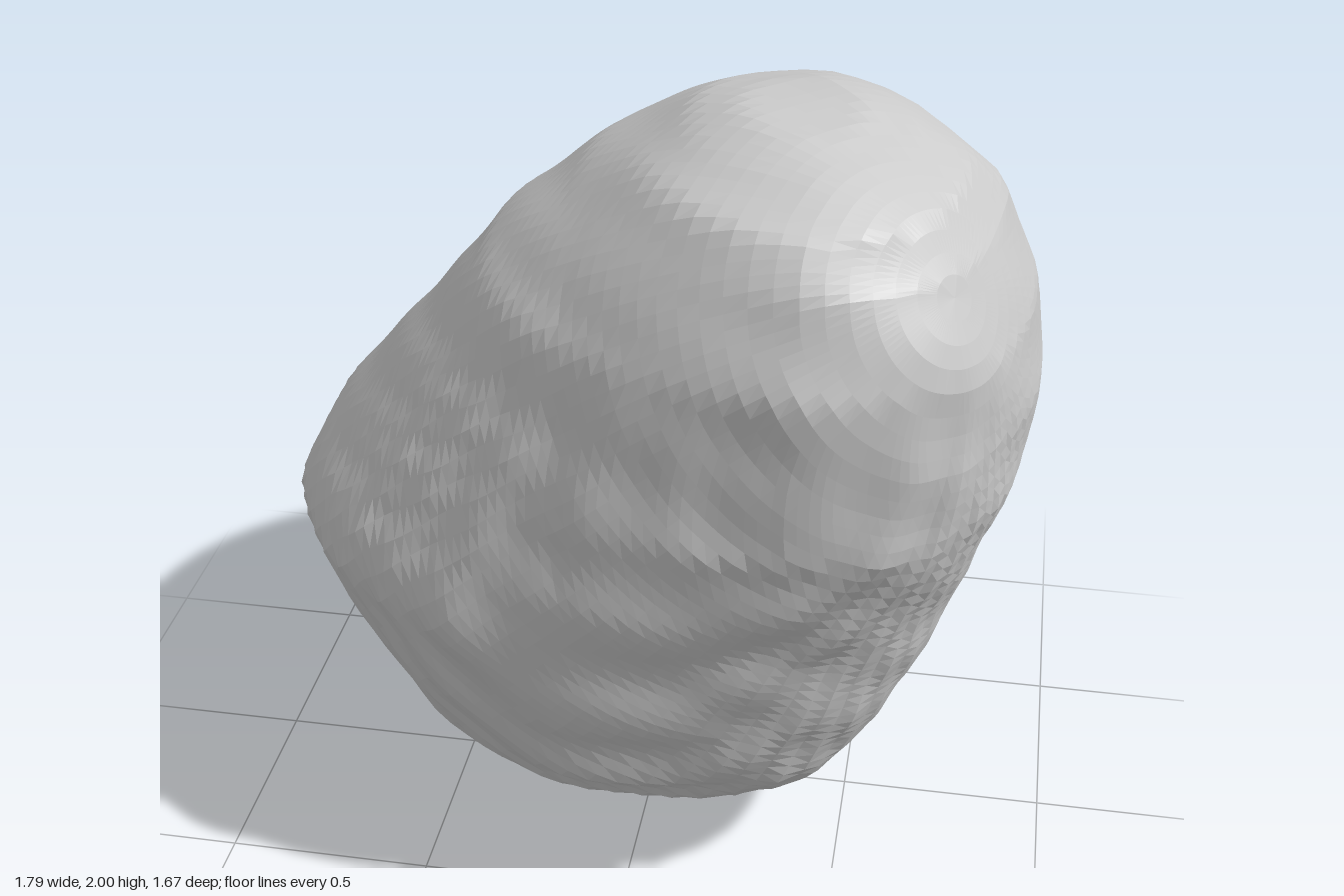
import * as THREE from 'three';

// Horizontal cross-sections: height, x min, x max, z min, z max
const SECTIONS = [
  [0, -0.18, -0.05, -0.18, -0.02], [0.04, -0.3, 0.06, -0.27, 0.1], [0.1, -0.4, 0.24, -0.4, 0.22],
  [0.2, -0.52, 0.44, -0.56, 0.37], [0.3, -0.6, 0.54, -0.66, 0.48], [0.4, -0.67, 0.6, -0.75, 0.56],
  [0.6, -0.79, 0.7, -0.88, 0.64], [0.75, -0.86, 0.76, -0.91, 0.68], [0.85, -0.9, 0.79, -0.91, 0.71],
  [1, -0.83, 0.83, -0.89, 0.77], [1.1, -0.75, 0.86, -0.86, 0.8], [1.2, -0.67, 0.88, -0.8, 0.83],
  [1.4, -0.51, 0.89, -0.68, 0.83], [1.6, -0.36, 0.86, -0.55, 0.83], [1.8, -0.13, 0.78, -0.36, 0.77],
  [1.9, 0.01, 0.7, -0.17, 0.71], [1.965, 0.11, 0.58, -0.03, 0.56], [2, 0.22, 0.48, 0.1, 0.45],
];
const BACK = -0.84; // flat patch on the back
const CENTRE = new THREE.Vector3(0.05, 1, 0.03);
const OPENING = new THREE.Vector3(-0.55, -0.65, -0.5); // direction the mouth faces
const { smoothstep, clamp } = THREE.MathUtils;

// Bends in the edge of the mouth: position, strength (+ cuts deeper), sharpness
const MOUTH_BENDS = [
  [new THREE.Vector3(-0.62, 0.97, -0.62), 0.15, 5],
  [new THREE.Vector3(-0.72, 0.45, -0.12), 0.05, 12],
  [new THREE.Vector3(-0.22, 0.52, -0.8), -0.05, 10],
];

// How far each quarter of a section is flattened (+) or filled out (-)
function cornerFlatness(dx, dz, y) {
  if (dx > 0) return dz > 0 ? -0.43 * smoothstep(1.95 - y, 0, 0.3) : 0.4 + 1.3 * smoothstep(y, 0.3, 1);
  return dz > 0 ? 0.25 : 0;
}

function inside(p) {
  if (p.y <= 0 || p.y >= 2 || p.z < BACK) return false;
  const i = SECTIONS.findIndex((s) => s[0] >= p.y);
  const a = SECTIONS[i - 1], b = SECTIONS[i];
  const t = (p.y - a[0]) / (b[0] - a[0]);
  const [, x0, x1, z0, zFront] = a.map((v, k) => v + (b[k] - v) * t);
  // The upper front recedes towards -x
  const z1 = zFront - 0.16 * clamp(0.4 - p.x, 0, 0.5) * smoothstep(p.y, 0.8, 1.2);
  const dx = (2 * p.x - x0 - x1) / (x1 - x0);
  const dz = (2 * p.z - z0 - z1) / (z1 - z0);
  if (Math.abs(dx) > 1 || Math.abs(dz) > 1) return false;
  return Math.abs(dx) ** 2.2 + Math.abs(dz) ** 2.2 + cornerFlatness(dx, dz, p.y) * (dx * dz) ** 2 < 1;
}

// Distance from the centre to the body surface
function radius(dir) {
  let lo = 0, hi = 2;
  for (let k = 0; k < 20; k++) {
    const mid = (lo + hi) / 2;
    if (inside(CENTRE.clone().addScaledVector(dir, mid))) lo = mid; else hi = mid;
  }
  return lo;
}

const surface = (dir) => CENTRE.clone().addScaledVector(dir, radius(dir));

// Positive where the mouth is cut away
const beyondMouth = (p) => MOUTH_BENDS.reduce(
  (sum, [at, strength, sharpness]) => sum + strength * Math.exp(-sharpness * p.distanceToSquared(at)),
  p.dot(OPENING) - 0.165);

// Stepped ridges over the front, with a shallow dent in its middle
function weather(p) {
  const dent = ((p.x - 0.32) / 0.13) ** 2 + ((p.y - 1.35) / 0.2) ** 2;
  const wobble = 0.006 * Math.sin(p.x * 13 + p.y * 7) * Math.sin(p.y * 17 - p.z * 11);
  const fade = smoothstep(p.z, 0.1, 0.5) * smoothstep(1.7 - p.y, 0, 0.5);
  p.z += fade * 0.009 * Math.sin(p.z * 70);
  if (p.z > 0) p.z -= 0.02 * Math.exp(-dent * dent);
  return p.addScaledVector(p.clone().sub(CENTRE).normalize(), wobble);
}

function shellGeometry(rows, cols) {
  const axis = OPENING.clone().normalize().negate();
  const u = new THREE.Vector3(0, 1, 0).cross(axis).normalize();
  const v = axis.clone().cross(u);
  const direction = (theta, phi) => axis.clone().multiplyScalar(Math.cos(theta))
    .addScaledVector(u, Math.sin(theta) * Math.cos(phi))
    .addScaledVector(v, Math.sin(theta) * Math.sin(phi));

  // Angle from the closed end to the rim, for each column
  const rim = [];
  for (let j = 0; j < cols; j++) {
    let lo = 0.8, hi = Math.PI;
    for (let k = 0; k < 20; k++) {
      const mid = (lo + hi) / 2;
      if (beyondMouth(surface(direction(mid, (j / cols) * 2 * Math.PI))) < 0) lo = mid; else hi = mid;
    }
    rim.push(lo);
  }

  // Outer wall from closed end to rim, then the thin inner wall back again
  const positions = [], indices = [];
  const total = 2 * rows + 1;
  for (let i = 0; i <= total; i++) {
    const outer = i <= rows;
    const t = (outer ? i : total - i) / rows;
    for (let j = 0; j < cols; j++) {
      const dir = direction(t * rim[j], (j / cols) * 2 * Math.PI);
      const p = weather(surface(dir));
      if (!outer) p.addScaledVector(dir, -0.045 + 0.02 * t ** 8);
      positions.push(p.x, p.y, p.z);
    }
  }
  for (let i = 0; i < total; i++) {
    for (let j = 0; j < cols; j++) {
      const a = i * cols + j, b = i * cols + (j + 1) % cols;
      if (i > 0) indices.push(a, b + cols, b);
      if (i < total - 1) indices.push(a, a + cols, b + cols);
    }
  }
  const geometry = new THREE.BufferGeometry();
  geometry.setAttribute('position', new THREE.Float32BufferAttribute(positions, 3));
  geometry.setIndex(indices);
  geometry.computeVertexNormals();
  return geometry;
}

export function createModel() {
  const group = new THREE.Group();
  group.name = 'hollowShell';
  const material = new THREE.MeshStandardMaterial({ color: 0xcccccc, flatShading: true });
  const shell = new THREE.Mesh(shellGeometry(64, 88), material);
  shell.name = 'shell';
  group.add(shell);
  return group;
}
